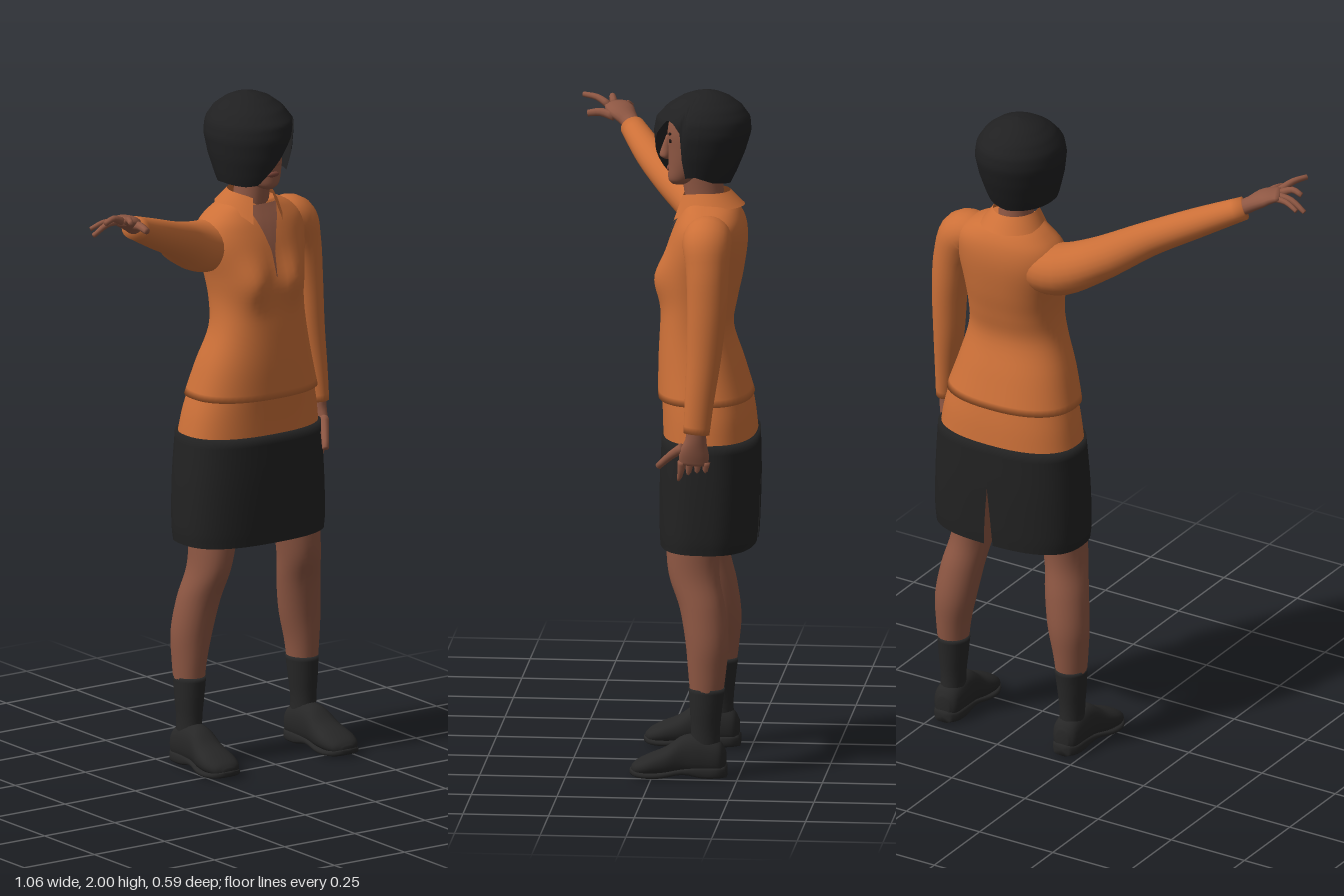
import * as THREE from 'three';

const V = (x, y, z) => new THREE.Vector3(x, y, z);
const paint = (name, color, side = THREE.FrontSide) => {
  const m = new THREE.MeshStandardMaterial({ color, side });
  m.name = name;
  return m;
};
const CX = 0.255; // body midline

// Triangulated grid of points; at(i, j) returns a Vector3
function grid(rows, cols, at) {
  const pos = [], idx = [];
  for (let i = 0; i <= rows; i++) for (let j = 0; j <= cols; j++) pos.push(...at(i, j).toArray());
  for (let i = 0; i < rows; i++) for (let j = 0; j < cols; j++) {
    const a = i * (cols + 1) + j, b = a + cols + 1;
    idx.push(a, b, a + 1, a + 1, b, b + 1);
  }
  return finish(pos, idx);
}

function finish(pos, idx) {
  const g = new THREE.BufferGeometry();
  g.setAttribute('position', new THREE.Float32BufferAttribute(pos, 3));
  g.setIndex(idx);
  g.computeVertexNormals();
  return g;
}

// Smooth skin over oval sections [x, y, z, halfWidth, halfDepth]
function loft(sections, { ref = V(0, 0, 1), dir = null, n = 24, per = 5, power = 2, caps = [true, true], gap = null, warp = null } = {}) {
  const path = new THREE.CatmullRomCurve3(sections.map(s => V(s[0], s[1], s[2])), false, 'catmullrom');
  const size = new THREE.CatmullRomCurve3(sections.map(s => V(s[3], s[4], 0)), false, 'catmullrom');
  const K = (sections.length - 1) * per, cols = gap ? n + 1 : n, pos = [], idx = [];
  const bend = c => Math.sign(c) * Math.abs(c) ** (2 / power);
  for (let k = 0; k <= K; k++) {
    const c = path.getPoint(k / K), s = size.getPoint(k / K);
    const t = dir || path.getTangent(k / K);
    const u = t.clone().cross(ref).normalize(), v = u.clone().cross(t);
    const g = gap ? gap(c.y) : 0;
    for (let j = 0; j < cols; j++) {
      const th = -Math.PI / 2 + g + (j / n) * (Math.PI * 2 - 2 * g);
      const p = c.clone().addScaledVector(u, s.x * bend(Math.cos(th))).addScaledVector(v, s.y * bend(Math.sin(th)));
      if (warp) warp(p, th);
      pos.push(p.x, p.y, p.z);
    }
  }
  for (let k = 0; k < K; k++) for (let j = 0; j < n; j++) {
    const j2 = (j + 1) % cols, a = k * cols + j, b = k * cols + j2;
    idx.push(a, a + cols, b, b, a + cols, b + cols);
  }
  [0, K].forEach((k, e) => {
    if (!caps[e]) return;
    const m = pos.length / 3, s = sections[e ? sections.length - 1 : 0];
    pos.push(s[0], s[1], s[2]);
    for (let j = 0; j < n; j++) {
      const a = k * cols + j, b = k * cols + (j + 1) % cols;
      idx.push(m, e ? b : a, e ? a : b);
    }
  });
  return finish(pos, idx);
}

// Piecewise linear lookup in rows [key, value, ...]
function lookup(rows, key, col) {
  let i = 0;
  while (i < rows.length - 2 && key > rows[i + 1][0]) i++;
  const f = THREE.MathUtils.clamp((key - rows[i][0]) / (rows[i + 1][0] - rows[i][0]), 0, 1);
  return THREE.MathUtils.lerp(rows[i][col], rows[i + 1][col], f);
}

export function createModel() {
  const model = new THREE.Group();
  const orange = paint('orange cloth', 0xcc7038), orangeThin = paint('orange collar', 0xcc7038, THREE.DoubleSide);
  const skin = paint('skin', 0x8e5743), black = paint('black cloth', 0x222222, THREE.DoubleSide);
  const hairMat = paint('hair', 0x202021, THREE.DoubleSide), sock = paint('sock black', 0x272727);
  const eyeMat = paint('eye', 0x1c1413), lipMat = paint('lips', 0x7a4438);
  const add = (name, geo, mat) => {
    const m = new THREE.Mesh(geo, mat);
    m.name = name;
    model.add(m);
    return m;
  };
  const up = V(0, 1, 0);
  const blob = (name, mat, p, s) => {
    const g = new THREE.SphereGeometry(1, 16, 10).scale(...s).translate(...p);
    return add(name, g, mat);
  };

  // Jacket body, sections given as y, xMin, xMax, zBack, zFront
  const oval = ([y, x0, x1, z0, z1]) => [(x0 + x1) / 2, y, (z0 + z1) / 2, (x1 - x0) / 2, (z1 - z0) / 2];
  const bust = (p, th) => {
    if (Math.sin(th) <= 0) return;
    const dx = Math.abs(p.x - CX) - 0.072, dy = p.y - 1.45;
    p.z += 0.03 * Math.sin(th) * Math.exp(-dx * dx / 0.003 - dy * dy / 0.005);
  };
  const jacket = add('jacketBody', loft([
    [1.1, 0.053, 0.467, -0.277, 0.0], [1.2, 0.08, 0.437, -0.247, 0.0], [1.3, 0.113, 0.413, -0.217, -0.005],
    [1.38, 0.122, 0.408, -0.228, -0.012], [1.46, 0.112, 0.415, -0.245, -0.015], [1.55, 0.09, 0.43, -0.257, -0.03],
    [1.61, 0.1, 0.43, -0.253, -0.05], [1.65, 0.14, 0.39, -0.235, -0.07], [1.678, 0.185, 0.33, -0.205, -0.085],
  ].map(oval), { dir: up, n: 48, power: 2.35, warp: bust }), orange);
  add('shirtTail', loft([
    [0.97, 0.034, 0.482, -0.288, -0.016], [1.05, 0.05, 0.47, -0.28, -0.014], [1.12, 0.07, 0.452, -0.268, -0.01],
  ].map(oval), { dir: up, n: 48, power: 2.4 }), orange);

  // Skirt with a wedge slit at the back
  add('skirt', loft([
    [0.665, 0.022, 0.493, -0.287, -0.008], [0.72, 0.018, 0.497, -0.291, -0.006],
    [0.85, 0.022, 0.493, -0.295, -0.006], [0.99, 0.034, 0.484, -0.293, -0.012],
  ].map(oval), { dir: up, n: 48, power: 2.6, caps: [false, true], gap: y => Math.max(0, 0.84 - y) * 0.16 }), black);

  // Skin shown in the neckline, laid on the jacket front
  const ray = new THREE.Raycaster();
  const frontZ = (mesh, x, y) => {
    ray.set(V(x, y, 1), V(0, 0, -1));
    const hit = ray.intersectObject(mesh)[0];
    return hit ? hit.point.z : -0.09;
  };
  const neckline = [[1.465, 0.001], [1.54, 0.006], [1.6, 0.024], [1.67, 0.052]];
  add('neckline', grid(14, 8, (i, j) => {
    const y = 1.67 - i * 0.205 / 14, x = 0.258 + lookup(neckline, y, 1) * (j / 4 - 1);
    return V(x, y, frontZ(jacket, x, y) + 0.004);
  }), skin);

  // Turned-down collar, open at the front
  add('collar', grid(4, 40, (i, j) => {
    const t = j / 20 - 1, a = Math.PI / 2 + Math.PI + t * 2.55, f = i / 4, point = Math.abs(t) ** 6;
    const r = 0.064 + 0.03 * f;
    return V(0.256 + r * Math.cos(a), 1.705 - 0.012 * point - f * (0.042 + 0.03 * point),
      -0.14 - 0.012 * f * (1 - point) + (r + 0.004) * Math.sin(a) + 0.012 * point);
  }), orangeThin);

  // Sleeves
  add('rightSleeve', loft([
    [0.2, 1.56, -0.165, 0.07, 0.07], [0.1, 1.55, -0.155, 0.085, 0.076], [0.0, 1.585, -0.105, 0.074, 0.064],
    [-0.115, 1.64, -0.005, 0.054, 0.051], [-0.23, 1.69, 0.07, 0.047, 0.044], [-0.355, 1.744, 0.138, 0.037, 0.034],
  ], { ref: up }), orange);
  add('leftSleeve', loft([
    [0.35, 1.6, -0.155, 0.05, 0.06], [0.42, 1.585, -0.156, 0.068, 0.072], [0.453, 1.51, -0.16, 0.058, 0.063],
    [0.467, 1.4, -0.16, 0.051, 0.058], [0.475, 1.26, -0.152, 0.045, 0.051], [0.487, 1.13, -0.14, 0.036, 0.043],
    [0.495, 1.03, -0.132, 0.029, 0.038],
  ]), orange);

  // Hands: a flat palm plus five bent fingers
  const hand = (side, palm, ref, fingers) => {
    add(side + 'Palm', loft(palm, { ref, n: 16, per: 4 }), skin);
    for (const [finger, r, ...pts] of fingers)
      add(side + finger, loft(pts.map((p, i) => [...p, r * (1 - 0.17 * i), r * (1 - 0.17 * i)]), { ref, n: 8, per: 3 }), skin);
  };
  hand('right', [
    [-0.335, 1.736, 0.127, 0.026, 0.024], [-0.37, 1.757, 0.148, 0.029, 0.022],
    [-0.405, 1.778, 0.175, 0.043, 0.02], [-0.445, 1.79, 0.193, 0.038, 0.013],
  ], up, [
    ['Thumb', 0.015, [-0.385, 1.767, 0.195], [-0.398, 1.775, 0.235], [-0.402, 1.77, 0.273]],
    ['IndexFinger', 0.012, [-0.43, 1.79, 0.215], [-0.45, 1.807, 0.25], [-0.472, 1.81, 0.292]],
    ['MiddleFinger', 0.012, [-0.44, 1.79, 0.2], [-0.475, 1.805, 0.208], [-0.505, 1.795, 0.21]],
    ['RingFinger', 0.011, [-0.44, 1.787, 0.185], [-0.485, 1.783, 0.187], [-0.53, 1.757, 0.185]],
    ['LittleFinger', 0.01, [-0.435, 1.784, 0.168], [-0.48, 1.785, 0.164], [-0.52, 1.77, 0.157]],
  ]);
  hand('left', [
    [0.494, 1.05, -0.132, 0.022, 0.028], [0.492, 1.01, -0.13, 0.023, 0.031],
    [0.489, 0.97, -0.125, 0.019, 0.043], [0.485, 0.935, -0.123, 0.013, 0.042],
  ], V(0, 0, 1), [
    ['Thumb', 0.015, [0.485, 0.985, -0.09], [0.462, 0.955, -0.052], [0.438, 0.918, -0.015]],
    ...['Index', 'Middle', 'Ring', 'Little'].map((f, i) => {
      const z = -0.088 - 0.024 * i;
      return [f + 'Finger', 0.012, [0.486, 0.945, z], [0.48, 0.915, z + 0.003], [0.468, 0.885 + 0.004 * i, z + 0.008 - 0.003 * i]];
    }),
  ]);

  // Legs, socks and shoes on both sides
  for (const [side, s] of [['left', 1], ['right', -1]]) {
    const at = rows => rows.map(([d, ...r]) => [CX + s * d, ...r]);
    add(side + 'Leg', loft(at([
      [0.13, 0.8, -0.125, 0.08, 0.09], [0.148, 0.68, -0.115, 0.066, 0.08], [0.16, 0.59, -0.118, 0.06, 0.074],
      [0.177, 0.5, -0.143, 0.063, 0.067], [0.192, 0.4, -0.158, 0.061, 0.063], [0.2, 0.31, -0.159, 0.05, 0.055],
      [0.202, 0.22, -0.157, 0.042, 0.045],
    ]), { dir: V(0, -1, 0) }), skin);
    add(side + 'Sock', loft(at([
      [0.2, 0.265, -0.158, 0.047, 0.053], [0.202, 0.2, -0.156, 0.042, 0.047], [0.203, 0.135, -0.155, 0.036, 0.042],
      [0.203, 0.06, -0.155, 0.036, 0.045],
    ]), { dir: V(0, -1, 0) }), sock);
    const along = { ref: up, dir: V(0, 0, 1), power: 2.3 };
    add(side + 'Shoe', loft(at([
      [0.203, 0.05, -0.214, 0.02, 0.03], [0.203, 0.058, -0.195, 0.04, 0.05], [0.203, 0.066, -0.145, 0.044, 0.06],
      [0.205, 0.064, -0.09, 0.045, 0.058], [0.209, 0.046, -0.04, 0.053, 0.042], [0.211, 0.036, 0.01, 0.057, 0.03],
      [0.211, 0.028, 0.045, 0.044, 0.02], [0.211, 0.024, 0.06, 0.018, 0.009],
    ]), { ...along, warp: p => { p.y = Math.max(p.y, 0.014); } }), sock);
    add(side + 'Sole', loft(at([
      [0.203, 0.02, -0.217, 0.026, 0.018], [0.203, 0.019, -0.19, 0.043, 0.019], [0.203, 0.019, -0.145, 0.045, 0.019],
      [0.206, 0.021, -0.09, 0.045, 0.01], [0.21, 0.012, -0.03, 0.057, 0.01], [0.211, 0.011, 0.015, 0.059, 0.01],
      [0.211, 0.014, 0.048, 0.045, 0.01], [0.211, 0.018, 0.064, 0.02, 0.007],
    ]), { ...along, power: 3.5, per: 3 }), sock);
  }

  // Neck, head and face
  add('neck', loft([
    [0.256, 1.62, -0.145, 0.06, 0.06], [0.257, 1.68, -0.134, 0.05, 0.058], [0.259, 1.79, -0.12, 0.048, 0.06],
  ], { dir: up }), skin);
  const head = add('head', loft([
    [0.261, 1.722, -0.06, 0.018, 0.022], [0.261, 1.738, -0.072, 0.042, 0.045], [0.261, 1.78, -0.092, 0.06, 0.064],
    [0.261, 1.83, -0.107, 0.07, 0.08], [0.26, 1.88, -0.112, 0.074, 0.087], [0.259, 1.93, -0.117, 0.068, 0.08],
    [0.258, 1.96, -0.12, 0.04, 0.05],
  ], { dir: up, n: 32 }), skin);
  add('nose', loft([
    [0.262, 1.865, -0.031, 0.008, 0.01], [0.262, 1.83, -0.022, 0.01, 0.014], [0.262, 1.805, -0.017, 0.015, 0.015],
    [0.262, 1.795, -0.025, 0.008, 0.008],
  ], { dir: V(0, -1, 0), n: 12 }), skin);
  for (const s of [-1, 1]) {
    const x = 0.262 + s * 0.033;
    blob('eye', eyeMat, [x, 1.855, frontZ(head, x, 1.855) - 0.001], [0.014, 0.006, 0.005]);
    blob('eyebrow', eyeMat, [x, 1.877, frontZ(head, x, 1.877)], [0.019, 0.003, 0.005]);
  }
  blob('lips', lipMat, [0.262, 1.768, frontZ(head, 0.262, 1.768) - 0.001], [0.021, 0.008, 0.006]);

  // Bobbed hair: rows of y, halfWidth, zFront, zBack
  const bob = [
    [1.72, 0.095, -0.02, -0.205], [1.76, 0.108, -0.005, -0.225], [1.82, 0.123, 0.01, -0.25],
    [1.88, 0.131, 0.016, -0.268], [1.92, 0.124, 0.008, -0.265], [1.955, 0.1, -0.025, -0.24],
    [1.98, 0.068, -0.065, -0.205], [1.993, 0.036, -0.1, -0.175], [2.0, 0, -0.14, -0.14],
  ];
  // Lower rim by angle in degrees: open over one cheek, swept fringe over the other
  const rim = [
    [0, 1.76], [18, 1.755], [23, 1.89], [35, 1.918], [47, 1.925], [65, 1.878], [80, 1.832],
    [95, 1.79], [115, 1.745], [135, 1.74], [180, 1.745], [270, 1.725], [330, 1.74], [360, 1.76],
  ];
  add('hair', grid(24, 90, (i, j) => {
    const a = j * 4, th = THREE.MathUtils.degToRad(a), low = lookup(rim, a, 1);
    const y = 2 - (2 - low) * (i / 24) ** 1.6;
    const zf = lookup(bob, y, 2), zb = lookup(bob, y, 3);
    return V(0.246 + lookup(bob, y, 1) * Math.cos(th), y, (zf + zb) / 2 + (zf - zb) / 2 * Math.sin(th));
  }), hairMat);

  return model;
}
